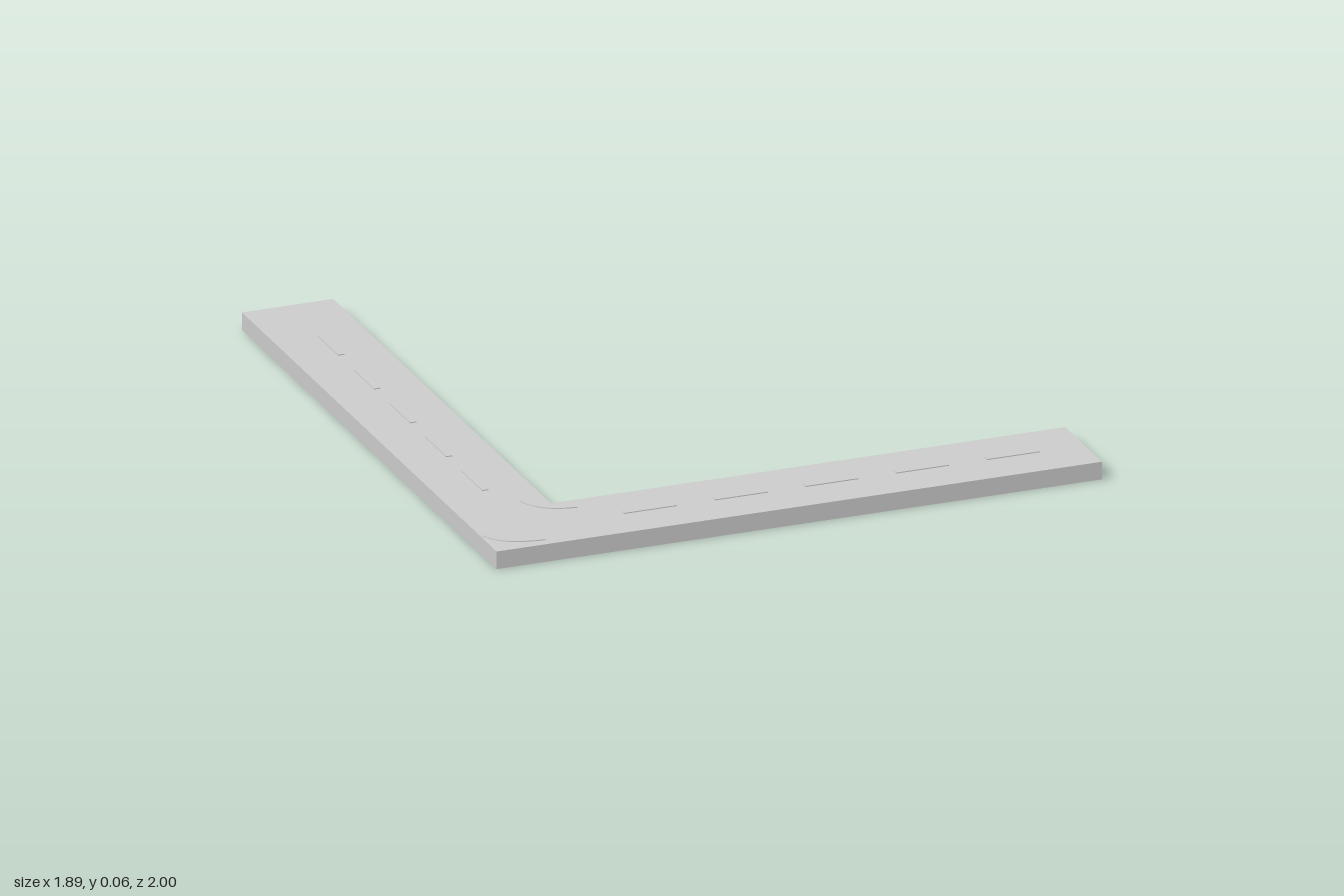
import * as THREE from 'three';

const SLAB_H = 0.055, MARK_H = 0.003, MARK_W = 0.02;
const material = new THREE.MeshStandardMaterial({ color: 0xcccccc, flatShading: true });

// Extrudes a plan outline of [x, z] corners upwards from height y.
function plate(name, outline, y, height) {
  const shape = new THREE.Shape(outline.map(([x, z]) => new THREE.Vector2(x, -z)));
  const geometry = new THREE.ExtrudeGeometry(shape, { depth: height, bevelEnabled: false });
  geometry.rotateX(-Math.PI / 2);
  const mesh = new THREE.Mesh(geometry, material);
  mesh.name = name;
  mesh.position.y = y;
  return mesh;
}

// Straight painted dash centred on x, z.
function dash(x, z, lengthX, lengthZ) {
  const mesh = new THREE.Mesh(new THREE.BoxGeometry(lengthX, MARK_H, lengthZ), material);
  mesh.name = 'laneDash';
  mesh.position.set(x, SLAB_H + MARK_H / 2, z);
  return mesh;
}

// Curved painted mark of constant width along a bend.
function curvedMark(name, a, control, b) {
  const curve = new THREE.QuadraticBezierCurve(
    new THREE.Vector2(...a), new THREE.Vector2(...control), new THREE.Vector2(...b));
  const near = [], far = [];
  for (let i = 0; i <= 8; i++) {
    const p = curve.getPoint(i / 8), t = curve.getTangent(i / 8);
    const dx = -t.y * MARK_W / 2, dz = t.x * MARK_W / 2;
    near.push([p.x + dx, p.y + dz]);
    far.unshift([p.x - dx, p.y - dz]);
  }
  return plate(name, [...near, ...far], SLAB_H, MARK_H);
}

export function createModel() {
  const group = new THREE.Group();
  group.name = 'roadCorner';

  // L-shaped road slab
  group.add(plate('roadSlab', [
    [-0.945, 1], [0.945, 1], [0.945, 0.71], [-0.66, 0.71], [-0.66, -1], [-0.945, -1],
  ], 0, SLAB_H));

  // Five centre-line dashes along each leg
  for (let i = 0; i < 5; i++) {
    const step = i * 0.283;
    group.add(dash(-0.41 + step, 0.855, 0.165, MARK_W));
    group.add(dash(-0.8, 0.465 - step, MARK_W, 0.165));
  }

  // Curved marks at the outside and inside of the bend
  group.add(curvedMark('outerCornerMark', [-0.93, 0.87], [-0.91, 0.95], [-0.78, 0.96]));
  group.add(curvedMark('innerCornerMark', [-0.73, 0.66], [-0.71, 0.75], [-0.6, 0.76]));

  return group;
}
